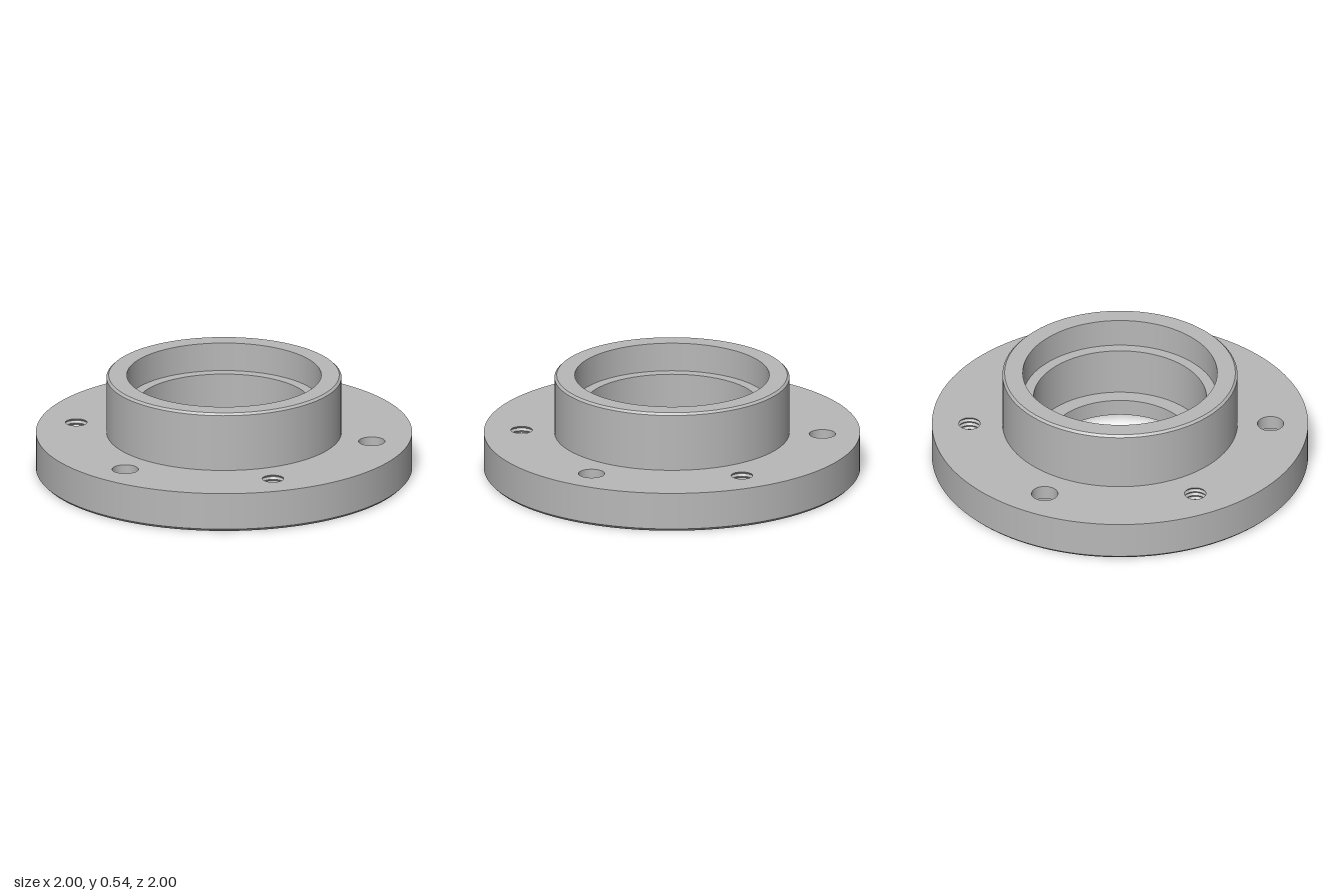
import * as THREE from 'three';
import { mergeGeometries } from 'three/addons/utils/BufferGeometryUtils.js';

const SEG = 128, HOLE_SEG = 32, PITCH = 0.8;

// Revolves each straight run of a profile on its own, so corners stay sharp.
// Runs going up face outward, runs going inward face up.
function revolve(points, segments = SEG) {
  const runs = [];
  for (let i = 0; i + 1 < points.length; i++) {
    const pair = [points[i], points[i + 1]].map(([r, y]) => new THREE.Vector2(r, y));
    runs.push(new THREE.LatheGeometry(pair, segments));
  }
  return mergeGeometries(runs);
}

// Flat ring pierced by round holes; side is 1 for facing up, -1 for facing down
function piercedRing(inner, outer, y, side, holes) {
  const shape = new THREE.Shape().absarc(0, 0, outer, 0, Math.PI * 2);
  shape.holes.push(new THREE.Path().absarc(0, 0, inner, 0, Math.PI * 2, true));
  for (const { x, z, r } of holes) {
    shape.holes.push(new THREE.Path().absarc(x, -side * z, r, 0, Math.PI * 2, true));
  }
  return new THREE.ShapeGeometry(shape, SEG / 2).rotateX(-side * Math.PI / 2).translate(0, y, 0);
}

export function createModel() {
  const model = new THREE.Group();
  model.name = 'flangedHub';
  const steel = new THREE.MeshStandardMaterial({ color: 0xb8b8b8 });
  steel.name = 'grey steel';

  const add = (name, geometry, x = 0, z = 0) => {
    const mesh = new THREE.Mesh(geometry, steel);
    mesh.name = name;
    mesh.position.set(x, 0, z);
    model.add(mesh);
  };

  const top = 0.215, hubTop = 0.535, recess = 0.03;

  // Six holes: wide bolt holes alternate with narrow threaded ones
  const holes = [];
  for (let i = 0; i < 6; i++) {
    const a = i * Math.PI / 3, bolt = i % 2 === 0;
    holes.push({
      x: PITCH * Math.sin(a), z: -PITCH * Math.cos(a), bolt,
      above: bolt ? 0.07 : 0.057, below: bolt ? 0.116 : 0.08,
    });
  }
  const cut = (key) => holes.map((h) => ({ x: h.x, z: h.z, r: h[key] }));

  // Flange disc with a chamfered lower edge
  add('flangeRim', revolve([[0.985, 0], [1, 0.015], [1, top]]));
  add('flangeTop', piercedRing(0.625, 1, top, 1, cut('above')));
  add('flangeBottom', piercedRing(0.62, 0.985, 0, -1, cut('below')));

  // Raised hub with a chamfered top edge
  add('hub', revolve([[0.625, top], [0.625, hubTop - 0.012], [0.613, hubTop], [0.517, hubTop]]));

  // Stepped bore, narrowing downward
  add('bore', revolve([
    [0.517, hubTop], [0.517, 0.38], [0.46, 0.38], [0.46, 0.12], [0.378, 0.12], [0.378, recess],
  ]));

  // Shallow round recess on the underside
  add('undersideRecess', revolve([[0.378, recess], [0.62, recess], [0.62, 0]]));

  // Counterbored bolt holes, open to the wide side below
  const boltHole = revolve([[0.07, top], [0.07, 0.14], [0.116, 0.14], [0.116, 0]], HOLE_SEG * 2);

  // Threaded holes: ridged wall with a countersink below
  const thread = [[0.057, top]];
  const turns = 8, pitch = (top - 0.023) / turns;
  for (let i = 0; i < turns; i++) {
    const y = top - i * pitch;
    thread.push([0.066, y - pitch / 2], [0.057, y - pitch]);
  }
  thread.push([0.08, 0]);
  const threadedHole = revolve(thread, HOLE_SEG * 2);

  for (const h of holes) {
    add(h.bolt ? 'boltHole' : 'threadedHole', h.bolt ? boltHole : threadedHole, h.x, h.z);
  }
  return model;
}
